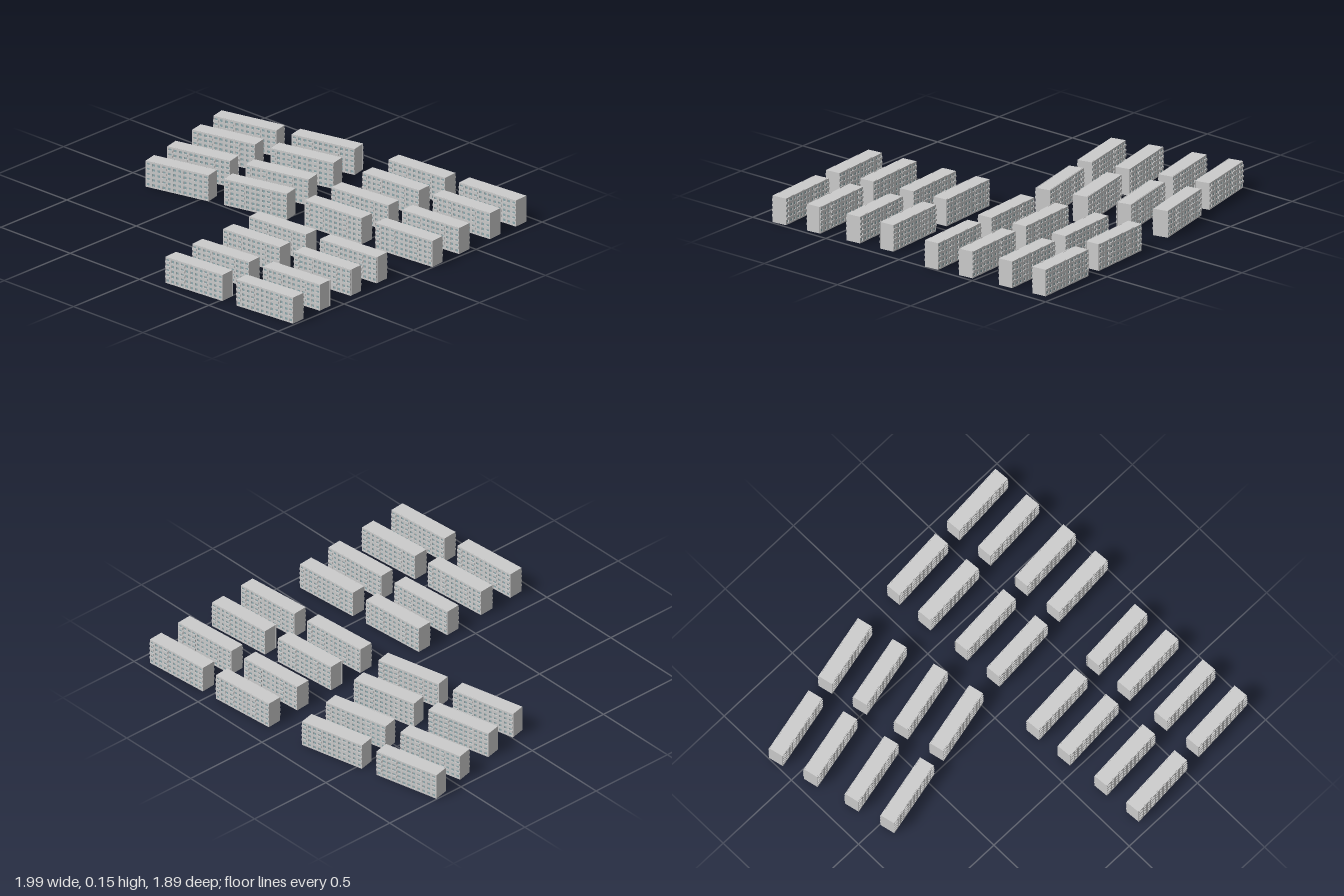
import * as THREE from 'three';
import { mergeGeometries } from 'three/addons/utils/BufferGeometryUtils.js';

const L = 0.383, H = 0.148, HALF = 0.043, SKIN = 0.004; // block length, height, half depth, facade thickness
const BAYS = 12, FLOORS = 5;
const BAY = L / BAYS, FLOOR = 0.0285;
const BALCONY_BAYS = [0, 3, 8, 11];

const bayX = (i) => -L / 2 + BAY * (i + 0.5);
const box = (w, h, d, x, y, z) => new THREE.BoxGeometry(w, h, d).translate(x, y, z);

// Facade panel with a grid of window openings
function facadeGeometry() {
  const shape = new THREE.Shape([
    new THREE.Vector2(-L / 2, 0), new THREE.Vector2(L / 2, 0),
    new THREE.Vector2(L / 2, H), new THREE.Vector2(-L / 2, H),
  ]);
  const w = 0.0085, h = 0.015;
  for (let f = 0; f < FLOORS; f++) {
    for (let i = 0; i < BAYS; i++) {
      const x = bayX(i), y = 0.009 + f * FLOOR;
      shape.holes.push(new THREE.Path([
        new THREE.Vector2(x - w, y), new THREE.Vector2(x - w, y + h),
        new THREE.Vector2(x + w, y + h), new THREE.Vector2(x + w, y),
      ]));
    }
  }
  return new THREE.ExtrudeGeometry(shape, { depth: SKIN, bevelEnabled: false })
    .translate(0, 0, HALF - SKIN);
}

// Balconies on the upper floors
function balconyGeometry() {
  const parts = [];
  for (let f = 1; f < FLOORS; f++) {
    for (const i of BALCONY_BAYS) {
      parts.push(box(BAY * 0.94, 0.012, 0.005, bayX(i), 0.008 + f * FLOOR, HALF + 0.0015));
    }
  }
  return mergeGeometries(parts);
}

export function createModel() {
  const model = new THREE.Group();
  model.name = 'housingEstate';
  const wall = new THREE.MeshStandardMaterial({ color: 0xcccccc });
  const glass = new THREE.MeshStandardMaterial({ color: 0x8fa9ae });

  const core = box(L, H, 2 * (HALF - SKIN) - 0.001, 0, H / 2, 0);
  const facade = facadeGeometry();
  const balconies = balconyGeometry();
  const panes = new THREE.PlaneGeometry(L - 0.002, H - 0.002).translate(0, H / 2, HALF - SKIN + 0.0005);

  const add = (parent, name, geometry, material) => {
    const mesh = new THREE.Mesh(geometry, material);
    mesh.name = name;
    parent.add(mesh);
  };

  // One slab block: plain end walls, the same facade on both long sides
  function apartmentBlock() {
    const block = new THREE.Group();
    block.name = 'apartmentBlock';
    add(block, 'core', core, wall);
    for (const turn of [0, Math.PI]) {
      const side = new THREE.Group();
      side.name = turn ? 'backSide' : 'frontSide';
      side.rotation.y = turn;
      add(side, 'facade', facade, wall);
      add(side, 'windowGlass', panes, glass);
      add(side, 'balconies', balconies, wall);
      block.add(side);
    }
    return block;
  }

  // Three quarters, each two columns by four rows of blocks
  const quarters = [
    ['leftRearQuarter', -0.8, -0.67, 12.8],
    ['rightRearQuarter', 0.273, -0.853, 4.4],
    ['rightFrontQuarter', 0.265, 0.193, 4.4],
  ];
  for (const [name, x, z, degrees] of quarters) {
    const quarter = new THREE.Group();
    quarter.name = name;
    quarter.position.set(x, 0, z);
    quarter.rotation.y = THREE.MathUtils.degToRad(degrees);
    for (const rowZ of [0, 0.215, 0.47, 0.691]) {
      for (const columnX of [0, 0.477]) {
        const block = apartmentBlock();
        block.position.set(columnX, 0, rowZ);
        quarter.add(block);
      }
    }
    model.add(quarter);
  }
  return model;
}
